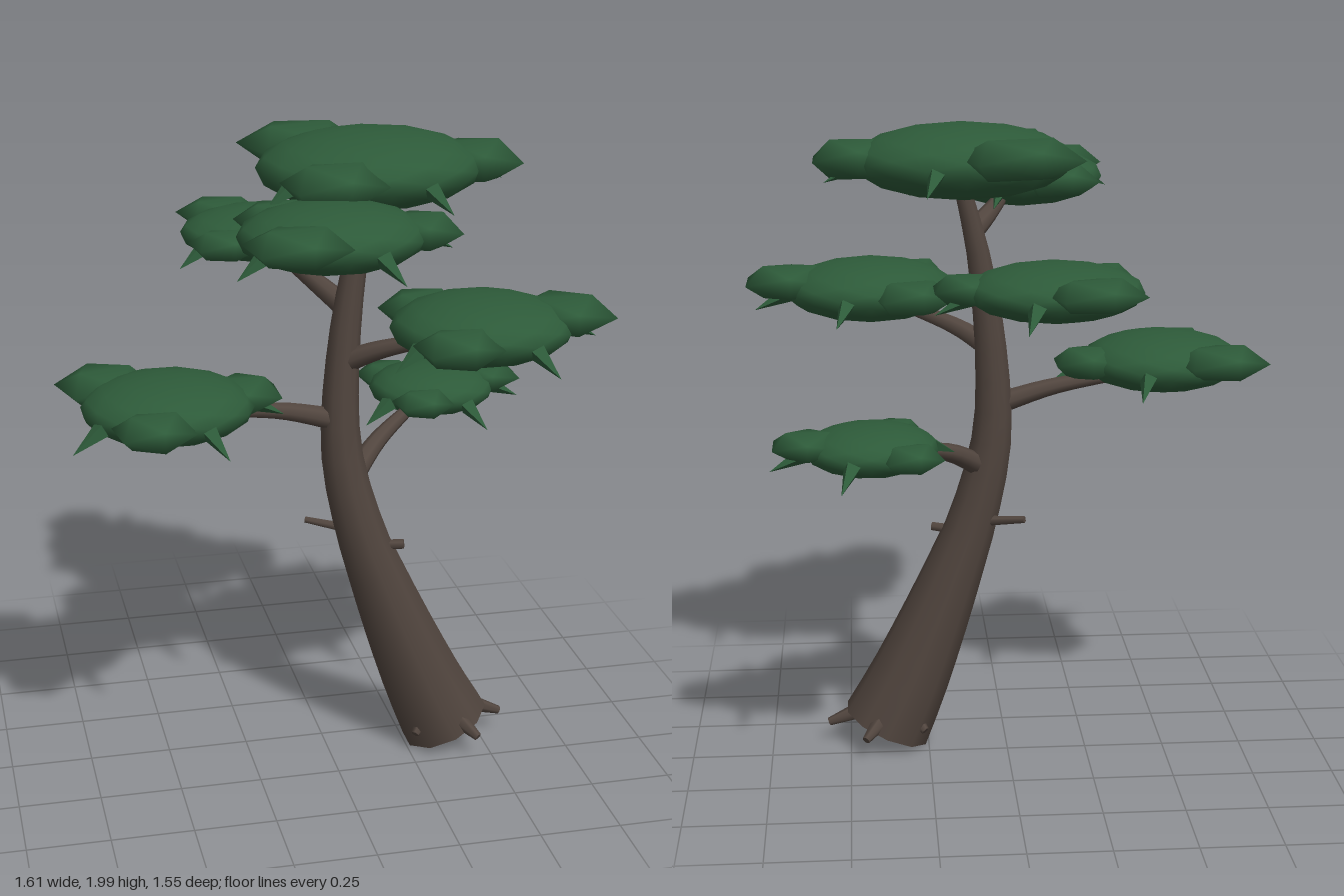
import * as THREE from 'three';

const bark = new THREE.MeshStandardMaterial({ color: 0x52463f });
bark.name = 'bark brown';
const leaf = new THREE.MeshStandardMaterial({ color: 0x2d5a39 });
leaf.name = 'pine green';

const v = (p) => new THREE.Vector3(...p);

function add(parent, name, geometry, material) {
  const mesh = new THREE.Mesh(geometry, material);
  mesh.name = name;
  parent.add(mesh);
  return mesh;
}

// Tapering tube; radii are spread evenly along the path
function limb(points, radii, sides, segments) {
  const curve = new THREE.CatmullRomCurve3(points.map(v));
  const geo = new THREE.TubeGeometry(curve, segments, 1, sides);
  const pos = geo.attributes.position;
  const p = new THREE.Vector3();
  for (let i = 0; i <= segments; i++) {
    const t = i / segments;
    const centre = curve.getPointAt(t);
    const f = t * (radii.length - 1);
    const k = Math.min(Math.floor(f), radii.length - 2);
    const r = THREE.MathUtils.lerp(radii[k], radii[k + 1], f - k);
    for (let j = 0; j <= sides; j++) {
      const n = i * (sides + 1) + j;
      p.fromBufferAttribute(pos, n).sub(centre).multiplyScalar(r).add(centre);
      pos.setXYZ(n, p.x, p.y, p.z);
    }
  }
  return { geo, curve };
}

// Capped rod or cone from a to b
function rod(parent, name, a, b, r0, r1, sides, material) {
  const from = v(a), dir = v(b).sub(from);
  const geo = new THREE.CylinderGeometry(r1, r0, dir.length(), sides);
  const mesh = add(parent, name, geo, material);
  mesh.position.copy(from).addScaledVector(dir, 0.5);
  mesh.quaternion.setFromUnitVectors(new THREE.Vector3(0, 1, 0), dir.normalize());
  return mesh;
}

// Smooth-shaded faceted blob
function blob(detail) {
  const geo = new THREE.IcosahedronGeometry(1, detail);
  geo.setAttribute('normal', geo.attributes.position.clone());
  return geo;
}
const padGeo = blob(2);
const lobeGeo = blob(0);

// Foliage pad: flattened body, three lobes around the rim, drooping needles.
// turn rotates the lobes (degrees), big picks the largest lobe
function foliagePad(c, r, turn, big) {
  const group = new THREE.Group();
  group.name = 'foliagePad';
  const body = add(group, 'padBody', padGeo, leaf);
  body.position.set(...c);
  body.scale.set(...r);
  const mean = (r[0] + r[2]) / 2;

  for (let i = 0; i < 3; i++) {
    const a = THREE.MathUtils.degToRad(turn + i * 120);
    const size = mean * (i === big ? 0.62 : 0.51);
    const lobe = add(group, 'padLobe', lobeGeo, leaf);
    lobe.position.set(
      c[0] + Math.cos(a) * r[0] * 0.93,
      c[1] + r[1] * (i === big ? 0.25 : 0.05),
      c[2] + Math.sin(a) * r[2] * 0.93);
    lobe.scale.set(size, r[1] * 0.62, size);
    lobe.rotation.y = i * 0.15;
  }

  for (const degrees of [-73, -4, 69, 148]) {
    const a = THREE.MathUtils.degToRad(degrees);
    const at = (reach, drop) => [c[0] + Math.cos(a) * reach, c[1] - drop, c[2] + Math.sin(a) * reach];
    const needle = rod(group, 'needle', at(mean, 0.01), at(mean + 0.105, 0.06), 0.028, 0, 4, leaf);
    needle.geometry = needle.geometry.toNonIndexed();
    needle.geometry.computeVertexNormals();
  }
  return group;
}

export function createModel() {
  const tree = new THREE.Group();
  tree.name = 'bentPine';

  // Leaning trunk with a closed, tilted foot
  const trunk = limb(
    [[0.385, 0.065, 0.095], [0.32, 0.2, 0.095], [0.235, 0.4, 0.097], [0.157, 0.6, 0.098], [0.1, 0.76, 0.098],
      [0.042, 1.02, 0.092], [0.045, 1.3, 0.084], [0.083, 1.6, 0.076], [0.13, 1.8, 0.072]],
    [0.145, 0.112, 0.079, 0.06, 0.045, 0.026], 10, 18);
  add(tree, 'trunk', trunk.geo, bark);
  const start = trunk.curve.getPointAt(0);
  const foot = add(tree, 'trunkFoot', new THREE.CircleGeometry(0.145, 10), bark);
  foot.position.copy(start);
  foot.lookAt(start.clone().sub(trunk.curve.getTangentAt(0)));

  // Short roots in a ring around the foot
  for (let i = 0; i < 5; i++) {
    const c = Math.cos(i * Math.PI * 0.4), s = Math.sin(i * Math.PI * 0.4);
    rod(tree, 'root', [0.37 + 0.07 * c, 0.125, 0.095 + 0.09 * s],
      [0.4 + 0.17 * c, 0.075, 0.095 + 0.17 * s], 0.032, 0.013, 6, bark);
  }

  // Branches: from the trunk, through an elbow, into a pad
  const branches = [
    [[0.04, 1.12, 0.09], [-0.15, 1.172, 0.11], [-0.38, 1.2, 0.15]],
    [[0.08, 0.93, 0.08], [0.18, 1.0, -0.02], [0.36, 1.06, -0.2]],
    [[0.04, 1.3, 0.085], [0.14, 1.355, 0.15], [0.34, 1.42, 0.26]],
    [[0.07, 1.46, 0.075], [-0.02, 1.525, -0.1], [-0.08, 1.55, -0.36]],
    [[0.11, 1.66, 0.07], [0.05, 1.7, 0.18], [-0.04, 1.77, 0.38]],
  ];
  for (const path of branches) {
    add(tree, 'branch', limb(path, [0.036, 0.026, 0.017], 8, 10).geo, bark);
  }

  // Dead twig stubs
  rod(tree, 'twig', [0.08, 0.75, 0.07], [-0.055, 0.77, 0.01], 0.017, 0.011, 6, bark);
  rod(tree, 'twig', [0.11, 0.705, 0.1], [0.23, 0.715, 0.14], 0.018, 0.015, 6, bark);

  // Foliage, lowest pad to crown
  tree.add(
    foliagePad([0.42, 1.083, -0.26], [0.2, 0.075, 0.19], -8, 0),
    foliagePad([-0.5, 1.237, 0.18], [0.255, 0.093, 0.24], -13, 2),
    foliagePad([0.41, 1.455, 0.3], [0.27, 0.097, 0.25], 0, 0),
    foliagePad([-0.1, 1.58, -0.45], [0.255, 0.083, 0.215], 6, 2),
    foliagePad([-0.07, 1.79, 0.44], [0.265, 0.093, 0.235], 3, 1),
    foliagePad([0.13, 1.887, 0.05], [0.335, 0.113, 0.29], 0, 2));
  return tree;
}
